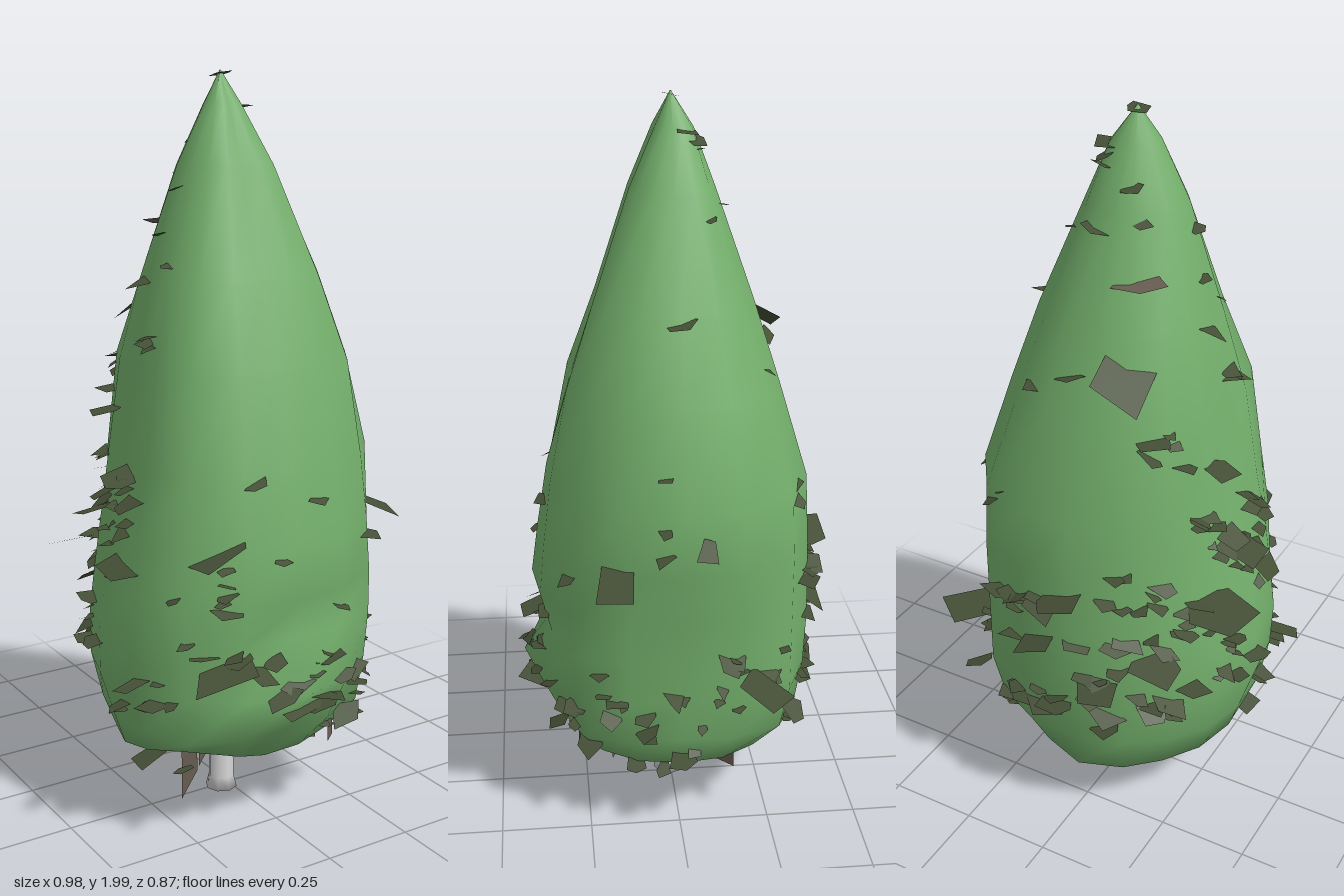
import * as THREE from 'three';

const CX = -0.02, SEG = 16;
// crown profile: height, then eight radii turning from +x through +z, -x and -z
const RINGS = [
  [0.2, 0.31, 0.3, 0.22, 0.36, 0.31, 0.28, 0.33, 0.3], [0.3, 0.32, 0.38, 0.32, 0.39, 0.34, 0.33, 0.35, 0.39],
  [0.43, 0.33, 0.4, 0.42, 0.4, 0.38, 0.35, 0.36, 0.42], [0.56, 0.34, 0.41, 0.33, 0.41, 0.38, 0.35, 0.37, 0.42],
  [0.68, 0.36, 0.41, 0.39, 0.4, 0.36, 0.34, 0.37, 0.42], [0.82, 0.39, 0.4, 0.37, 0.39, 0.33, 0.33, 0.36, 0.42],
  [1.0, 0.42, 0.38, 0.34, 0.36, 0.29, 0.32, 0.35, 0.41], [1.25, 0.34, 0.34, 0.27, 0.32, 0.25, 0.29, 0.28, 0.32],
  [1.47, 0.26, 0.26, 0.19, 0.23, 0.21, 0.21, 0.21, 0.24], [1.75, 0.13, 0.14, 0.1, 0.13, 0.13, 0.1, 0.11, 0.13],
  [1.9, 0.06, 0.05, 0.04, 0.06, 0.05, 0.04, 0.05, 0.07], [1.985, ...Array(8).fill(0.001)],
];
// lift of the ragged lower hem in the same eight directions
const HEM = [0.02, 0.01, -0.02, 0.07, 0.01, -0.02, -0.01, 0];

function seeded(seed) {
  return () => {
    seed = (seed * 16807) % 2147483647;
    return seed / 2147483647;
  };
}

// value at an angle from a list of eight directions
function around(list, a) {
  const f = ((((a / Math.PI) * 4) % 8) + 8) % 8, k = Math.floor(f) % 8;
  return THREE.MathUtils.lerp(list[k], list[(k + 1) % 8], f - Math.floor(f));
}

// point on the crown at a height and an angle around the trunk
function crownPoint(y, a) {
  let i = 0;
  while (i < RINGS.length - 2 && RINGS[i + 1][0] < y) i++;
  const [ya, ...ra] = RINGS[i], [yb, ...rb] = RINGS[i + 1];
  const t = THREE.MathUtils.clamp((y - ya) / (yb - ya), 0, 1);
  const r = THREE.MathUtils.lerp(around(ra, a), around(rb, a), t);
  return new THREE.Vector3(CX + Math.cos(a) * r, y, Math.sin(a) * r);
}

// one smooth skin: underside centre, inner underside ring, then the profile rings
function crownGeometry() {
  const pos = [CX, 0.21, 0], idx = [];
  for (let i = -1; i < RINGS.length; i++) {
    for (let k = 0; k < SEG; k++) {
      const n = (k + 1) % SEG, base = 1 + (i + 1) * SEG, a = (k / SEG) * Math.PI * 2;
      const p = crownPoint(RINGS[Math.max(i, 0)][0], a);
      if (i < 0) pos.push(CX + (p.x - CX) * 0.5, 0.19 + 0.6 * around(HEM, a), p.z * 0.5);
      else pos.push(p.x, p.y + (i === 0 ? around(HEM, a) : 0), p.z);
      if (i < 0) idx.push(0, base + k, base + n);
      if (i === RINGS.length - 1) continue;
      idx.push(base + k, base + k + SEG, base + n, base + n, base + k + SEG, base + n + SEG);
    }
  }
  const g = new THREE.BufferGeometry();
  g.setAttribute('position', new THREE.Float32BufferAttribute(pos, 3));
  g.setIndex(idx);
  g.computeVertexNormals();
  return g;
}

// irregular flat leaf, lying in the xz plane
function leafGeometry(size, rand) {
  const sides = 4 + Math.floor(rand() * 2), turn = rand() * 6.28;
  const shape = new THREE.Shape();
  for (let i = 0; i < sides; i++) {
    const a = turn + ((i + rand() * 0.5) / sides) * Math.PI * 2;
    const r = size * (0.45 + rand() * 0.3);
    shape[i ? 'lineTo' : 'moveTo'](Math.cos(a) * r * 1.2, Math.sin(a) * r * 0.85);
  }
  return new THREE.ShapeGeometry(shape).rotateX(-Math.PI / 2);
}

// large leaves: x, y, z, size
const BIG = [
  [0.41, 0.51, -0.2, 0.15], [0.36, 0.83, 0.17, 0.14], [-0.12, 1.39, -0.23, 0.16], [-0.21, 0.83, 0.29, 0.15],
  [-0.14, 0.5, 0.39, 0.1], [-0.02, 0.38, 0.37, 0.1], [0.06, 0.4, 0.38, 0.1], [-0.38, 0.75, -0.18, 0.14],
  [-0.37, 0.87, -0.05, 0.13], [-0.35, 0.76, 0.09, 0.14], [-0.35, 0.97, 0.04, 0.1], [-0.25, 1.31, 0.05, 0.09],
  [-0.41, 0.46, 0.18, 0.08], [-0.24, 0.6, -0.3, 0.1], [0, 0.78, -0.38, 0.11], [0.08, 0.62, -0.38, 0.1],
  [-0.1, 0.52, -0.37, 0.1], [0.13, 0.4, -0.35, 0.09], [0.22, 1.0, -0.27, 0.1], [0.16, 0.3, 0.33, 0.09],
  [0.23, 1.46, 0, 0.08], [0.42, 0.92, -0.05, 0.06], [-0.23, 0.51, 0.34, 0.14], [-0.31, 0.22, 0.12, 0.1],
  [-0.31, 1.12, -0.1, 0.09], [0.31, 0.25, 0, 0.08], [0.32, 0.4, -0.3, 0.07], [-0.24, 1.46, -0.03, 0.06],
];

// clumps of small leaves: angle, height, count
const CLUMPS = [
  [-0.5, 0.51, 8], [0.3, 0.39, 6], [0.9, 0.32, 5], [1.2, 0.43, 5], [2.2, 0.72, 5], [1.6, 0.5, 4],
  [3.1, 0.85, 8], [3.3, 0.55, 7], [2.7, 0.4, 5], [3.6, 0.95, 7], [3.8, 0.7, 8], [4.0, 0.45, 7],
  [4.2, 0.82, 7], [4.5, 0.6, 7], [4.7, 0.4, 6], [5.1, 0.75, 6], [5.3, 0.35, 4], [3.9, 1.2, 5],
];

export function createModel() {
  const group = new THREE.Group();
  const material = (name, color) => new THREE.MeshStandardMaterial({ name, color, side: THREE.DoubleSide });
  const green = material('crown green', 0x74b06c);
  const olive = material('leaf olive', 0x454f36);
  const brown = material('bark brown', 0x695e53);
  const grey = material('trunk grey', 0xd6d6d6);
  const add = (name, geometry, mat, parent = group) => {
    const m = new THREE.Mesh(geometry, mat);
    m.name = name;
    parent.add(m);
    return m;
  };

  add('crown', crownGeometry(), green);

  // trunk with flared foot
  const profile = [[0.001, 0], [0.045, 0], [0.036, 0.035], [0.033, 0.25]].map(p => new THREE.Vector2(...p));
  add('trunk', new THREE.LatheGeometry(profile, 8), grey).position.set(-0.025, 0, 0.005);

  // leaves, leaning outwards from the crown
  const rand = seeded(4217);
  const leaves = new THREE.Group();
  leaves.name = 'leaves';
  group.add(leaves);
  const up = new THREE.Vector3(0, 1, 0);
  const addLeaf = (x, y, z, size, lean, mat = olive) => {
    const leaf = add('leaf', leafGeometry(size, rand), mat, leaves);
    const out = new THREE.Vector3(x - CX, 0, z).normalize().multiplyScalar(lean);
    out.add(new THREE.Vector3((rand() - 0.5) * 0.8, 1, (rand() - 0.5) * 0.8)).normalize();
    leaf.position.set(x, y, z);
    leaf.quaternion.setFromUnitVectors(up, out);
  };
  const scatter = (y, a, size) => {
    const p = crownPoint(y, a);
    addLeaf(p.x, y, p.z, size, 0.35);
  };
  BIG.forEach(([x, y, z, s]) => addLeaf(x, y, z, s, 0.3));
  CLUMPS.forEach(([a, y, count]) => {
    for (let i = 0; i < count; i++) {
      scatter(y + (rand() - 0.5) * 0.14, a + (rand() - 0.5) * 0.5, 0.03 + 0.06 * rand());
    }
  });
  for (let i = 0; i < 40; i++) scatter(0.2 + 0.9 * rand(), rand() * 6.28, 0.03 + 0.04 * rand());
  for (let i = 0; i < 14; i++) scatter(1.3 + 0.6 * rand(), 2.8 + 3 * rand(), 0.03 + 0.04 * rand());
  addLeaf(-0.11, 1.6, -0.14, 0.1, 0.5, brown);
  addLeaf(CX, 1.975, 0, 0.05, 0.8);

  // upright bark cards around the foot: x, y, z, width, height, turn
  [
    [-0.15, 0.15, 0.04, 0.17, 0.2, Math.PI / 4], [0, 0.14, -0.12, 0.17, 0.2, Math.PI / 4],
    [0.17, 0.26, 0.26, 0.05, 0.12, 0.7], [0.12, 0.19, 0.16, 0.12, 0.04, -0.4],
  ].forEach(([x, y, z, w, h, turn]) => {
    const card = add('barkCard', new THREE.PlaneGeometry(w, h), brown);
    card.position.set(x, y, z);
    card.rotation.y = turn;
  });

  return group;
}
